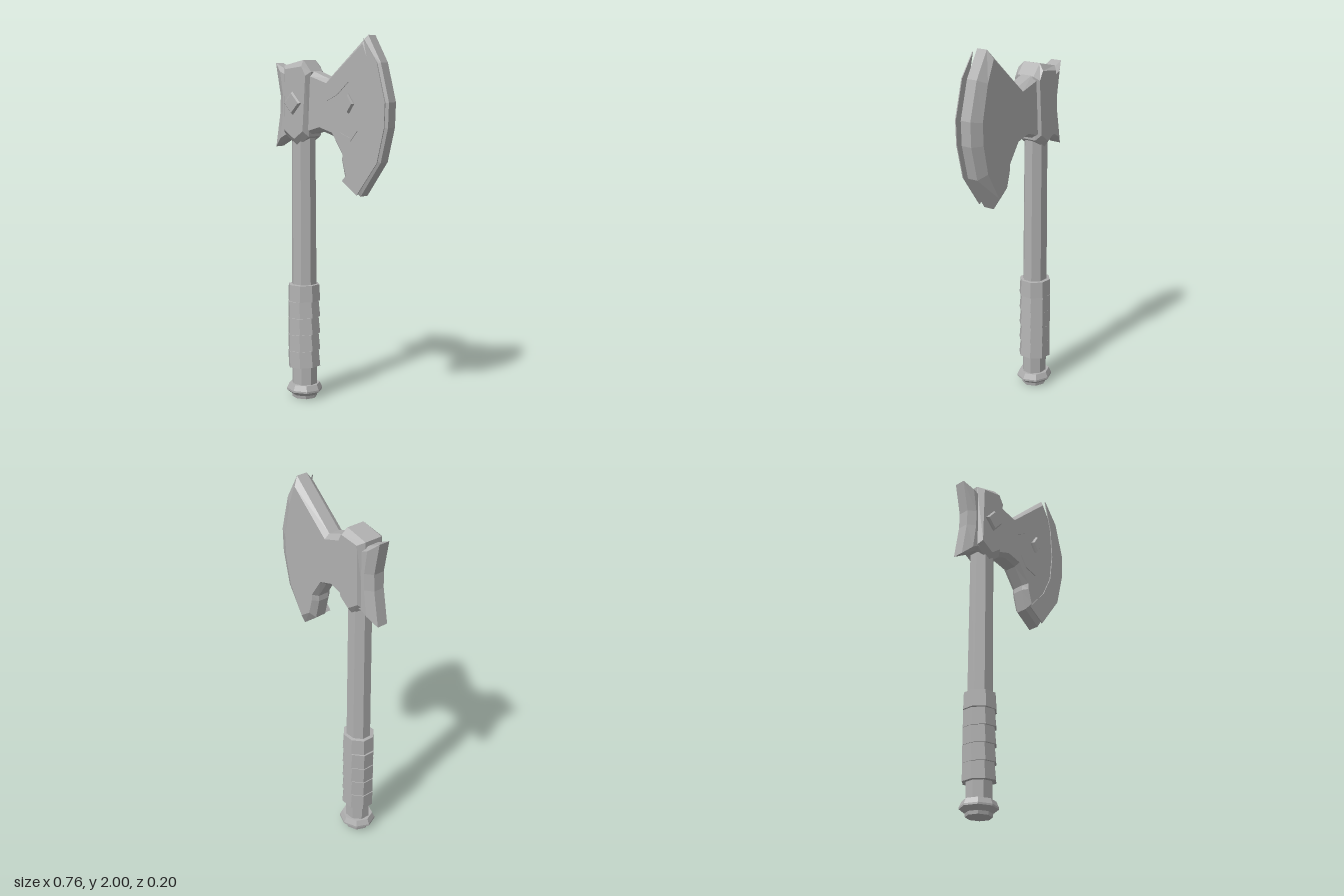
import * as THREE from 'three';

const steel = new THREE.MeshStandardMaterial({ color: 0xb0b0b0, flatShading: true });
steel.name = 'grey steel';

const AXIS_X = -0.207, AXIS_Z = -0.005;

function add(parent, name, geometry) {
  const mesh = new THREE.Mesh(geometry, steel);
  mesh.name = name;
  parent.add(mesh);
  return mesh;
}

// Bevelled slab: anticlockwise outline, smaller inset outline on both faces
function bevelledSlab(outer, inner, [zBack, zMidBack, zMidFront, zFront]) {
  const rings = [[inner, zBack], [outer, zMidBack], [outer, zMidFront], [inner, zFront]];
  const n = outer.length;
  const positions = [], index = [];
  rings.forEach(([ring, z]) => ring.forEach(([x, y]) => positions.push(x, y, z)));
  for (let r = 0; r < 3; r++) {
    for (let i = 0; i < n; i++) {
      const a = r * n + i, b = r * n + (i + 1) % n;
      index.push(a, b, b + n, a, b + n, a + n);
    }
  }
  const caps = THREE.ShapeUtils.triangulateShape(inner.map(([x, y]) => new THREE.Vector2(x, y)), []);
  caps.forEach(([a, b, c]) => {
    index.push(a + 3 * n, b + 3 * n, c + 3 * n);
    index.push(c, b, a);
  });
  const g = new THREE.BufferGeometry();
  g.setAttribute('position', new THREE.Float32BufferAttribute(positions, 3));
  g.setIndex(index);
  const flat = g.toNonIndexed();
  flat.computeVertexNormals();
  return flat;
}

// Faceted turned part from [radius, y] pairs, listed upwards
function turned(profile, sides = 8, start = 0) {
  return new THREE.LatheGeometry(profile.map(([r, y]) => new THREE.Vector2(r, y)), sides, start);
}

// Thin plate lying on the front of the blade
function plate(points, depth = 0.006) {
  const shape = new THREE.Shape(points.map(([x, y]) => new THREE.Vector2(x, y)));
  return new THREE.ExtrudeGeometry(shape, { depth, bevelEnabled: false });
}

function diamond(parent, name, x, y, z, halfW, halfH, depth) {
  const g = turned([[0, 0], [0.8, 0], [1, 0.3], [1, 0.6], [0.82, 1], [0, 1]], 4);
  g.rotateX(Math.PI / 2);
  const m = add(parent, name, g);
  m.scale.set(halfW, halfH, depth);
  m.position.set(x, y, z);
}

export function createModel() {
  const axe = new THREE.Group();
  axe.name = 'axe';

  // Handle: shaft, wrapped grip and pommel
  const handle = new THREE.Group();
  handle.name = 'handle';
  handle.position.set(AXIS_X, 0, AXIS_Z);
  axe.add(handle);
  const flats = Math.PI / 8;
  add(handle, 'shaft', turned([[0.074, 0.06], [0.073, 0.65], [0.068, 1.6]], 8, flats)).scale.z = 0.9;

  for (let i = 0; i < 5; i++) {
    const h = 0.094;
    const band = add(handle, 'gripBand' + (i + 1),
      turned([[0.06, 0], [0.094, 0.003], [0.09, h], [0.06, h + 0.004]], 8, flats));
    band.position.y = 0.175 + i * h;
    band.scale.z = 0.93;
    band.rotation.z = i === 4 ? 0.02 : 0.07;
  }

  add(handle, 'pommel', turned([[0, 0], [0.07, 0], [0.073, 0.018], [0.102, 0.04],
    [0.102, 0.05], [0.088, 0.08], [0.06, 0.08]])).scale.z = 0.94;

  // Head: socket, blade and rear spike
  const head = new THREE.Group();
  head.name = 'head';
  axe.add(head);

  add(head, 'socket', bevelledSlab(
    [[-0.295, 1.475], [-0.207, 1.41], [-0.13, 1.465], [-0.112, 1.81], [-0.165, 1.873], [-0.298, 1.842]],
    [[-0.277, 1.5], [-0.207, 1.452], [-0.148, 1.495], [-0.128, 1.79], [-0.155, 1.838], [-0.268, 1.823]],
    [-0.087, -0.057, 0.045, 0.076]));

  const thickness = [-0.07, -0.04, 0.022, 0.05];
  add(head, 'blade', bevelledSlab(
    [[-0.2, 1.48], [-0.12, 1.48], [-0.055, 1.5], [0.02, 1.475], [0.08, 1.38], [0.078, 1.35],
      [0.104, 1.24], [0.2, 1.165], [0.328, 1.35], [0.372, 1.53], [0.377, 1.66], [0.325, 1.86],
      [0.245, 2], [-0.007, 1.775], [-0.12, 1.815], [-0.2, 1.815]],
    [[-0.2, 1.5], [-0.12, 1.5], [-0.055, 1.52], [0.03, 1.495], [0.1, 1.39], [0.102, 1.355],
      [0.125, 1.27], [0.19, 1.225], [0.278, 1.375], [0.312, 1.53], [0.317, 1.65], [0.275, 1.84],
      [0.228, 1.955], [-0.007, 1.752], [-0.12, 1.788], [-0.2, 1.788]],
    thickness));

  add(head, 'rearSpike', bevelledSlab(
    [[-0.38, 1.4], [-0.29, 1.45], [-0.25, 1.45], [-0.25, 1.81], [-0.29, 1.815], [-0.378, 1.855],
      [-0.345, 1.68], [-0.348, 1.59]],
    [[-0.325, 1.45], [-0.29, 1.47], [-0.25, 1.47], [-0.25, 1.79], [-0.29, 1.795], [-0.325, 1.81],
      [-0.305, 1.68], [-0.305, 1.59]],
    thickness));

  // Cutting edge overlay and engraved strokes on the front face
  const edge = add(head, 'edgePlate', plate([[0.24, 1.98], [0.283, 1.8], [0.292, 1.63], [0.272, 1.48],
    [0.215, 1.365], [0.104, 1.245], [0.2, 1.175], [0.328, 1.35], [0.372, 1.53], [0.377, 1.66], [0.325, 1.86]]));
  edge.position.z = 0.053;

  const strokes = [
    [[0.0, 1.66], [0.07, 1.695], [0.14, 1.76], [0.06, 1.708]],
    [[0.04, 1.545], [0.08, 1.482], [0.155, 1.455], [0.2, 1.51], [0.152, 1.472], [0.088, 1.497]],
  ];
  strokes.forEach((points, i) => {
    add(head, 'engraving' + (i + 1), plate(points, 0.005)).position.z = 0.05;
  });

  // Diamond studs
  diamond(head, 'socketStud', AXIS_X, 1.645, 0.075, 0.056, 0.062, 0.024);
  diamond(head, 'bladeStud', 0.151, 1.65, 0.05, 0.034, 0.051, 0.028);

  return axe;
}
